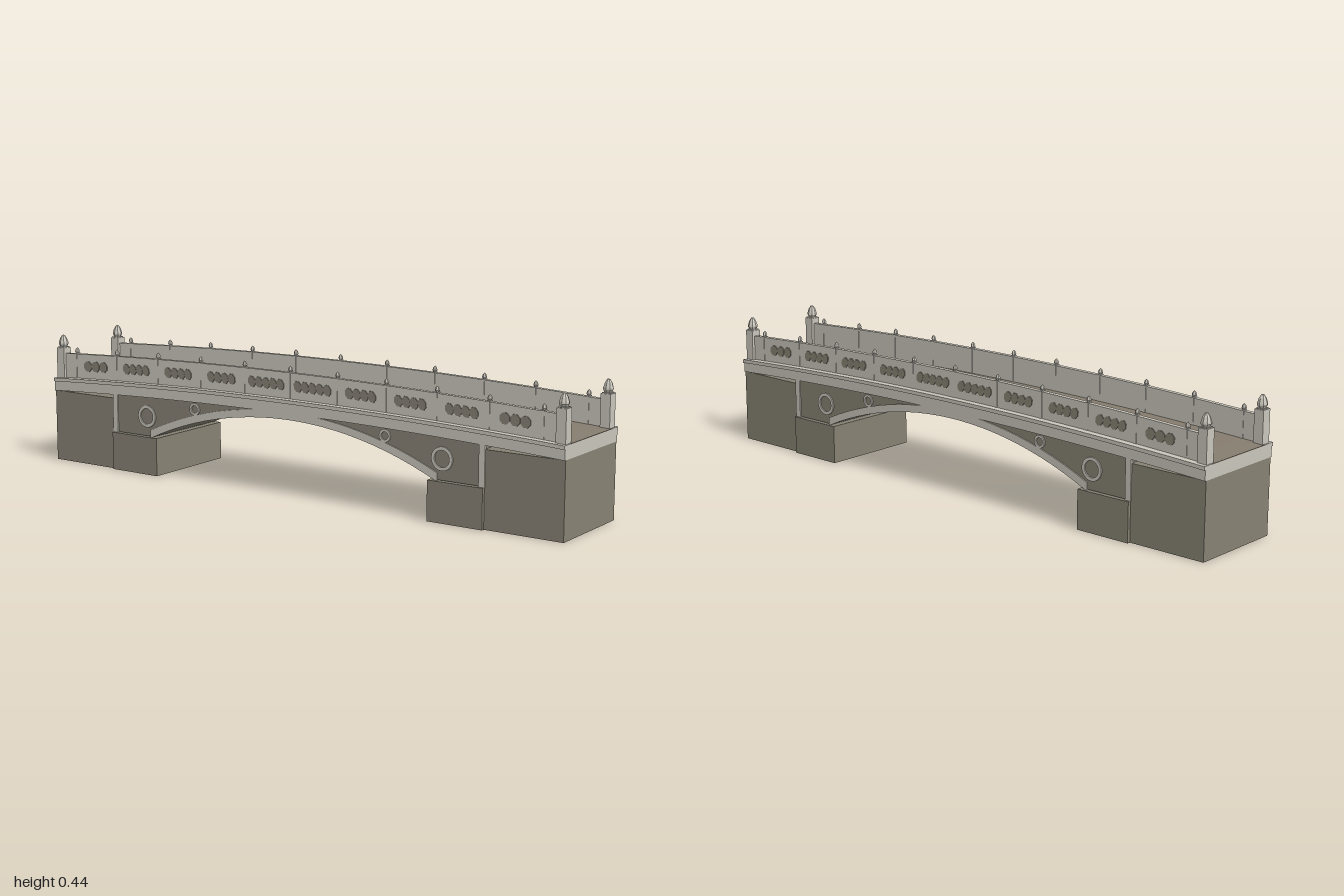
import * as THREE from 'three';

const lightStone = new THREE.MeshStandardMaterial({ name: 'lightStone', color: 0xcac6bc, flatShading: true });
const darkStone = new THREE.MeshStandardMaterial({ name: 'darkStone', color: 0x878274, flatShading: true, side: THREE.DoubleSide });
const roadway = new THREE.MeshStandardMaterial({ name: 'roadway', color: 0x857c6e, flatShading: true });

// Gentle hump of the deck, and the circular arch below it
const deckY = (x) => 0.32 - 0.028 * x * x;
const ARCH_R = 1.317, ARCH_Y = -1.062, RING = 0.025, SPRING = 0.555;
const archY = (x, r = ARCH_R) => ARCH_Y + Math.sqrt(r * r - x * x);
const SLAB = 0.045, PARAPET = 0.085;

export function createModel() {
  const root = new THREE.Group();
  root.name = 'archBridge';

  const add = (name, geo, mat, x = 0, y = 0, z = 0) => {
    const mesh = new THREE.Mesh(geo, mat);
    mesh.name = name;
    mesh.position.set(x, y, z);
    root.add(mesh);
    return mesh;
  };

  const extrude = (shape, z0, z1, seg = 12) => {
    const geo = new THREE.ExtrudeGeometry(shape, { depth: z1 - z0, bevelEnabled: false, curveSegments: seg });
    return geo.translate(0, 0, z0);
  };

  // Solid between two height curves, running from x0 to x1
  const band = (x0, x1, low, high, z0, z1, n = 24) => {
    const pts = [];
    for (let i = 0; i <= n; i++) {
      const x = x0 + (x1 - x0) * i / n;
      pts.push(new THREE.Vector2(x, low(x)));
    }
    for (let i = n; i >= 0; i--) {
      const x = x0 + (x1 - x0) * i / n;
      pts.push(new THREE.Vector2(x, high(x)));
    }
    return extrude(new THREE.Shape(pts), z0, z1);
  };

  // Box without a bottom face
  const openBox = (w, h, d) => {
    const geo = new THREE.BoxGeometry(w, h, d);
    const idx = Array.from(geo.index.array);
    idx.splice(18, 6);
    geo.setIndex(idx);
    geo.clearGroups();
    return geo;
  };

  const annulus = (outer, inner, depth) => {
    const shape = new THREE.Shape().absarc(0, 0, outer, 0, Math.PI * 2);
    shape.holes.push(new THREE.Path().absarc(0, 0, inner, 0, Math.PI * 2, true));
    return extrude(shape, -depth / 2, depth / 2, 10);
  };

  const lathe = (pts, seg) => new THREE.LatheGeometry(pts.map(([r, y]) => new THREE.Vector2(r, y)), seg);

  // Abutments and piers
  for (const s of [-1, 1]) {
    add('abutment', openBox(0.27, 0.247, 0.33), darkStone, s * 0.865, 0.1235);
    add('pier', openBox(0.195, 0.13, 0.352), darkStone, s * 0.6335, 0.065);
  }

  // Spandrel walls and the arch soffit as one solid
  const body = [new THREE.Vector2(-0.73, 0.132)];
  for (let i = 0; i <= 24; i++) {
    const x = -SPRING + 2 * SPRING * i / 24;
    body.push(new THREE.Vector2(x, archY(x)));
  }
  body.push(new THREE.Vector2(0.73, 0.132));
  for (let i = 0; i <= 24; i++) {
    const x = 0.73 - 1.46 * i / 24;
    body.push(new THREE.Vector2(x, deckY(x) - SLAB + 0.002));
  }
  add('spandrel', extrude(new THREE.Shape(body), -0.165, 0.165), darkStone);

  // Deck slab and road surface
  add('deckSlab', band(-1, 1, (x) => deckY(x) - SLAB, (x) => deckY(x) - 0.002, -0.17, 0.17), lightStone);
  add('roadSurface', band(-1, 1, (x) => deckY(x) - 0.002, deckY, -0.135, 0.135), roadway);

  // Shared shapes for the finials
  const largeFinial = lathe([[0, 0], [0.011, 0], [0.017, 0.01], [0.0165, 0.016], [0.012, 0.03], [0.005, 0.041], [0, 0.043]], 8);
  const smallFinial = lathe([[0, 0], [0.005, 0], [0.008, 0.006], [0.006, 0.014], [0, 0.02]], 6);
  const PANEL = 0.183, ROW_Z = 0.1425;

  for (const s of [-1, 1]) {
    const side = (a, b) => (s > 0 ? [a, b] : [-b, -a]);

    // Cornice, arch ring and parapet wall
    add('cornice', band(-1, 1, (x) => deckY(x) - 0.012, deckY, ...side(0.135, 0.175)), lightStone);
    add('archRing', band(-SPRING - 0.012, SPRING + 0.012, (x) => archY(x), (x) => archY(x, ARCH_R + RING), ...side(0.165, 0.169)), lightStone);
    add('parapet', band(-0.965, 0.965, (x) => deckY(x) - 0.002, (x) => deckY(x) + PARAPET, ...side(0.1345, 0.1505)), lightStone);

    // Parapet posts with small finials
    for (let i = -5; i <= 5; i++) {
      const x = i * PANEL, y = deckY(x);
      add('parapetPost', new THREE.BoxGeometry(0.009, PARAPET + 0.002, 0.019), lightStone, x, y + PARAPET / 2 + 0.001, s * ROW_Z);
      add('smallFinial', smallFinial, lightStone, x, y + PARAPET + 0.002, s * ROW_Z);
    }

    for (const m of [-1, 1]) {
      // Row of dark oval panels on the outer face of each bay
      [5, 4, 4, 4, 3].forEach((count, bay) => {
        const cx = m * (bay + 0.5) * PANEL;
        const pitch = count === 3 ? 0.035 : 0.0285;
        for (let k = 0; k < count; k++) {
          const x = cx + (k - (count - 1) / 2) * pitch;
          const oval = add('ovalPanel', new THREE.CylinderGeometry(1, 1, 0.004, 8), darkStone, x, deckY(x) + 0.043, s * 0.1515);
          oval.rotation.set(Math.PI / 2, Math.PI / 8, 0, 'XYZ');
          oval.scale.set(pitch * 0.52, 1, 0.019);
        }
      });

      // End post with a tall finial
      add('endPost', new THREE.BoxGeometry(0.033, 0.106, 0.035), lightStone, m * 0.979, 0.345, s * ROW_Z);
      add('endPostCap', new THREE.BoxGeometry(0.027, 0.004, 0.029), lightStone, m * 0.979, 0.399, s * ROW_Z);
      add('endFinial', largeFinial, lightStone, m * 0.979, 0.4, s * ROW_Z);

      // Wall pilaster and round ornaments on the spandrel
      add('pilaster', new THREE.BoxGeometry(0.021, 0.132, 0.008), lightStone, m * 0.7225, 0.196, s * 0.165);
      add('largeRoundel', annulus(0.038, 0.027, 0.008), lightStone, m * 0.583, 0.2, s * 0.165);
      add('smallRoundel', annulus(0.021, 0.013, 0.008), lightStone, m * 0.376, 0.247, s * 0.165);
    }
  }

  return root;
}
